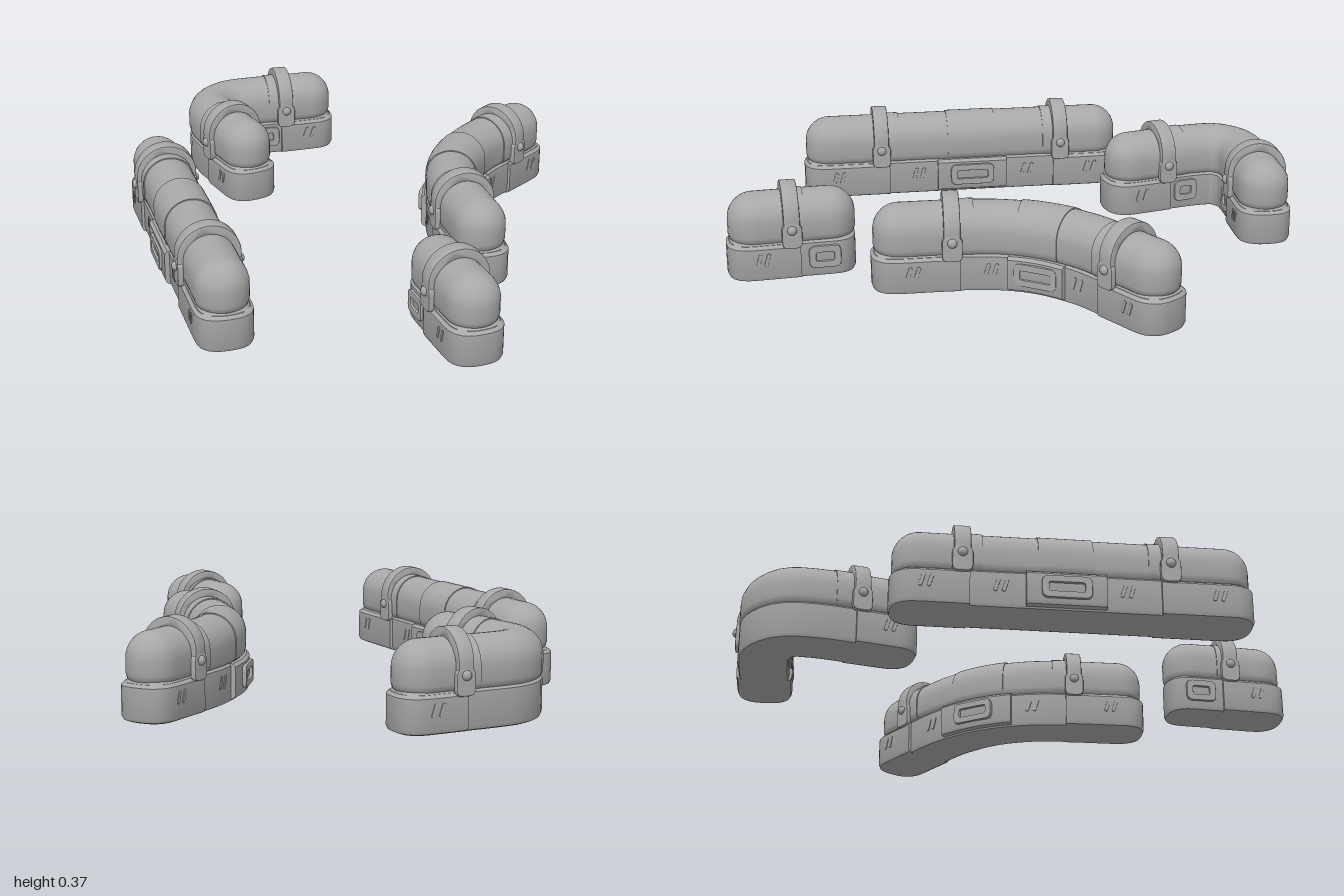
import * as THREE from 'three';
import { toCreasedNormals } from 'three/addons/utils/BufferGeometryUtils.js';

const grey = new THREE.MeshStandardMaterial({ color: 0xa8a8a8 });
grey.name = 'plain grey';

// Tangent frame on a path: x = sideways, y = up, z = along the path
function frameAt(curve, t) {
  const p = curve.getPointAt(t), d = curve.getTangentAt(t);
  return { p, d, n: new THREE.Vector3(d.z, 0, -d.x) };
}

// Outline of a wall section at half-width w; ends are rounded or flat
function footprint(curve, t0, t1, w, round, power) {
  const pts = [], steps = 28, capSteps = 14;
  const add = (f, side, along) =>
    pts.push(f.p.clone().addScaledVector(f.n, side).addScaledVector(f.d, along));
  for (const dir of [1, -1]) {
    for (let i = 0; i < steps; i++) {
      const k = i / steps;
      add(frameAt(curve, dir > 0 ? t0 + (t1 - t0) * k : t1 - (t1 - t0) * k), dir * w, 0);
    }
    const f = frameAt(curve, dir > 0 ? t1 : t0);
    const reach = round[dir > 0 ? 1 : 0] ? w : 0;
    for (let i = 0; i < capSteps; i++) {
      const a = Math.PI * i / capSteps, c = Math.cos(a);
      add(f, dir * w * Math.sign(c) * Math.abs(c) ** (2 / power),
        dir * reach * Math.sin(a) ** (2 / power));
    }
  }
  return pts;
}

// Stack of outlines following a [halfWidth, height] profile from bottom to top
function wall(name, curve, profile, { t0 = 0, t1 = 1, round = [true, true], power = 2 } = {}) {
  const pos = [], index = [];
  let n = 0;
  profile.forEach(([w, y], r) => {
    const ring = footprint(curve, t0, t1, w, round, power);
    n = ring.length;
    ring.forEach((p, j) => {
      pos.push(p.x, y, p.z);
      if (r === 0) return;
      const a = (r - 1) * n + j, b = (r - 1) * n + (j + 1) % n;
      index.push(a, a + n, b, b, a + n, b + n);
    });
  });
  const g = new THREE.BufferGeometry();
  g.setAttribute('position', new THREE.Float32BufferAttribute(pos, 3));
  g.setIndex(index);
  const mesh = new THREE.Mesh(toCreasedNormals(g, 0.75), grey);
  mesh.name = name;
  return mesh;
}

// Profiles
const block = (w, y0, y1, b = 0.018) =>
  [[0, y0], [w - b, y0], [w - b * 0.3, y0 + b * 0.3], [w, y0 + b], [w, y1 - b * 0.6], [w - b * 0.6, y1], [0, y1]];
function dome(w, bottom, spring) {
  const out = [[0, bottom], [w - 0.018, bottom], [w - 0.005, bottom + 0.012], [w, bottom + 0.03]];
  for (let i = 0; i <= 10; i++) {
    const a = Math.PI / 2 * i / 10;
    out.push([w * Math.cos(a), spring + w * Math.sin(a)]);
  }
  return out;
}

function part(name, geometry, parent, x, y, z) {
  const m = new THREE.Mesh(geometry, grey);
  m.name = name;
  m.position.set(x, y, z);
  parent.add(m);
  return m;
}

// Group aligned to the path at t
function station(name, curve, t) {
  const { p, d, n } = frameAt(curve, t), g = new THREE.Group();
  g.name = name;
  g.matrix.makeBasis(n, new THREE.Vector3(0, 1, 0), d).setPosition(p.x, 0, p.z);
  g.matrix.decompose(g.position, g.quaternion, g.scale);
  return g;
}

function roundedRect(Path, w, h, r) {
  const s = new Path(), x = w / 2, y = h / 2;
  s.moveTo(-x + r, -y).lineTo(x - r, -y).quadraticCurveTo(x, -y, x, -y + r)
    .lineTo(x, y - r).quadraticCurveTo(x, y, x - r, y)
    .lineTo(-x + r, y).quadraticCurveTo(-x, y, -x, y - r)
    .lineTo(-x, -y + r).quadraticCurveTo(-x, -y, -x + r, -y);
  return s;
}
const plate = (w, h, r, depth, bevel) => new THREE.ExtrudeGeometry(roundedRect(THREE.Shape, w, h, r),
  { depth, bevelSize: bevel, bevelThickness: bevel, bevelSegments: 2, curveSegments: 4 });

// Strap over the tube with bolted lugs
function clamp(curve, t) {
  const g = station('clamp', curve, t);
  const s = new THREE.Shape();
  s.moveTo(0.112, 0.14).lineTo(0.112, 0.235).absarc(0, 0.235, 0.112, 0, Math.PI, false)
    .lineTo(-0.112, 0.14).lineTo(-0.085, 0.14).lineTo(-0.085, 0.235)
    .absarc(0, 0.235, 0.085, Math.PI, 0, true).lineTo(0.085, 0.14);
  const strap = new THREE.ExtrudeGeometry(s,
    { depth: 0.05, bevelSize: 0.004, bevelThickness: 0.005, bevelSegments: 2, curveSegments: 20 });
  part('strap', toCreasedNormals(strap, 0.6), g, 0, 0, -0.025);
  for (const side of [1, -1]) {
    const lug = part('lug', plate(0.064, 0.085, 0.018, 0.012, 0.005), g, side * 0.1, 0.175, 0);
    lug.rotation.y = side * Math.PI / 2;
    const bolt = part('bolt', new THREE.SphereGeometry(0.018, 14, 8), g, side * 0.117, 0.2, 0);
    bolt.scale.x = 0.8;
  }
  return g;
}

// Rounded window frame on the side of the base
function windowFrame(curve, t, side, off, length) {
  const g = station('sidePanel', curve, t);
  const s = roundedRect(THREE.Shape, length, 0.078, 0.02);
  s.holes.push(roundedRect(THREE.Path, length - 0.035, 0.042, 0.012));
  const frame = new THREE.ExtrudeGeometry(s,
    { depth: 0.012, bevelSize: 0.004, bevelThickness: 0.004, bevelSegments: 2, curveSegments: 4 });
  part('panelFrame', frame, g, side * (off - 0.008), 0.082, 0).rotation.y = side * Math.PI / 2;
  return g;
}

// Pair of slanted vents
function vents(curve, t, side, off) {
  const g = station('vents', curve, t);
  for (const k of [-1, 1]) {
    const v = part('vent', plate(0.009, 0.045, 0.004, 0.003, 0.002), g, side * (off - 0.002), 0.088, k * 0.015);
    v.rotation.set(0, side * Math.PI / 2, -0.3, 'YXZ');
  }
  return g;
}

function barrier(name, lift, { path, clamps, boots, plates = [], sleeves = [], frames = [], slots = [] }) {
  const g = new THREE.Group();
  g.name = name;
  g.position.y = lift;
  const curve = new THREE.CatmullRomCurve3(path.map(([x, z]) => new THREE.Vector3(x, 0, z)));
  g.add(wall('base', curve, block(0.094, 0, 0.148), { power: 2.5 }));
  g.add(wall('tube', curve, dome(0.096, 0.138, 0.222)));
  // Thicker feet at the ends
  for (const [t0, t1] of boots)
    g.add(wall('boot', curve, block(0.105, 0.002, 0.14), { t0, t1, round: [t0 === 0, t1 === 1], power: 2.6 }));
  for (const [t0, t1] of plates)
    g.add(wall('sidePlate', curve, block(0.112, 0.012, 0.145), { t0, t1, round: [false, false] }));
  for (const [t0, t1] of sleeves)
    g.add(wall('sleeve', curve, dome(0.1, 0.14, 0.222), { t0, t1, round: [false, false] }));
  for (const t of clamps) g.add(clamp(curve, t));
  for (const [t, side, off, length] of frames) g.add(windowFrame(curve, t, side, off, length));
  for (const [t, off] of slots) for (const side of [1, -1]) g.add(vents(curve, t, side, off));
  return g;
}

export function createModel() {
  const model = new THREE.Group();
  model.name = 'barrierSet';

  model.add(barrier('straightBarrier', 0.015, {
    path: [[-0.71, -0.125], [-0.505, 0.383], [-0.3, 0.89]],
    clamps: [0.135, 0.81], boots: [[0, 0.16], [0.78, 1]],
    plates: [[0.34, 0.6]], sleeves: [[0.14, 0.2], [0.38, 0.56], [0.74, 0.8]],
    frames: [[0.47, 1, 0.114, 0.17], [0.47, -1, 0.114, 0.17]],
    slots: [[0.02, 0.105], [0.26, 0.094], [0.67, 0.094], [0.97, 0.105]],
  }));

  model.add(barrier('curvedBarrier', 0.012, {
    path: [[0.69, -0.63], [0.62, -0.53], [0.52, -0.38], [0.455, -0.2], [0.452, -0.03], [0.49, 0.12], [0.565, 0.32]],
    clamps: [0.12, 0.82], boots: [[0, 0.16], [0.79, 1]],
    plates: [[0.34, 0.6]], sleeves: [[0.13, 0.2], [0.38, 0.57], [0.74, 0.81]],
    frames: [[0.47, 1, 0.114, 0.16], [0.47, -1, 0.114, 0.16]],
    slots: [[0.02, 0.105], [0.28, 0.094], [0.67, 0.094], [0.96, 0.105]],
  }));

  model.add(barrier('cornerBarrier', 0.015, {
    path: [[-0.205, -0.905], [-0.32, -0.86], [-0.44, -0.815], [-0.535, -0.765], [-0.58, -0.67], [-0.545, -0.575], [-0.47, -0.46], [-0.39, -0.345]],
    clamps: [0.14, 0.85], boots: [[0, 0.16], [0.83, 1]],
    sleeves: [[0.15, 0.22], [0.74, 0.83]],
    frames: [[0.23, 1, 0.096, 0.09], [0.75, 1, 0.096, 0.09]],
    slots: [[0.02, 0.105], [0.98, 0.105]],
  }));

  model.add(barrier('shortBarrier', 0, {
    path: [[0.43, 0.635], [0.49, 0.76], [0.552, 0.885]],
    clamps: [0.53], boots: [[0.42, 1]],
    sleeves: [[0.35, 0.55]],
    frames: [[0.1, 1, 0.096, 0.11], [0.1, -1, 0.096, 0.11]],
    slots: [[0.92, 0.105]],
  }));
  return model;
}
